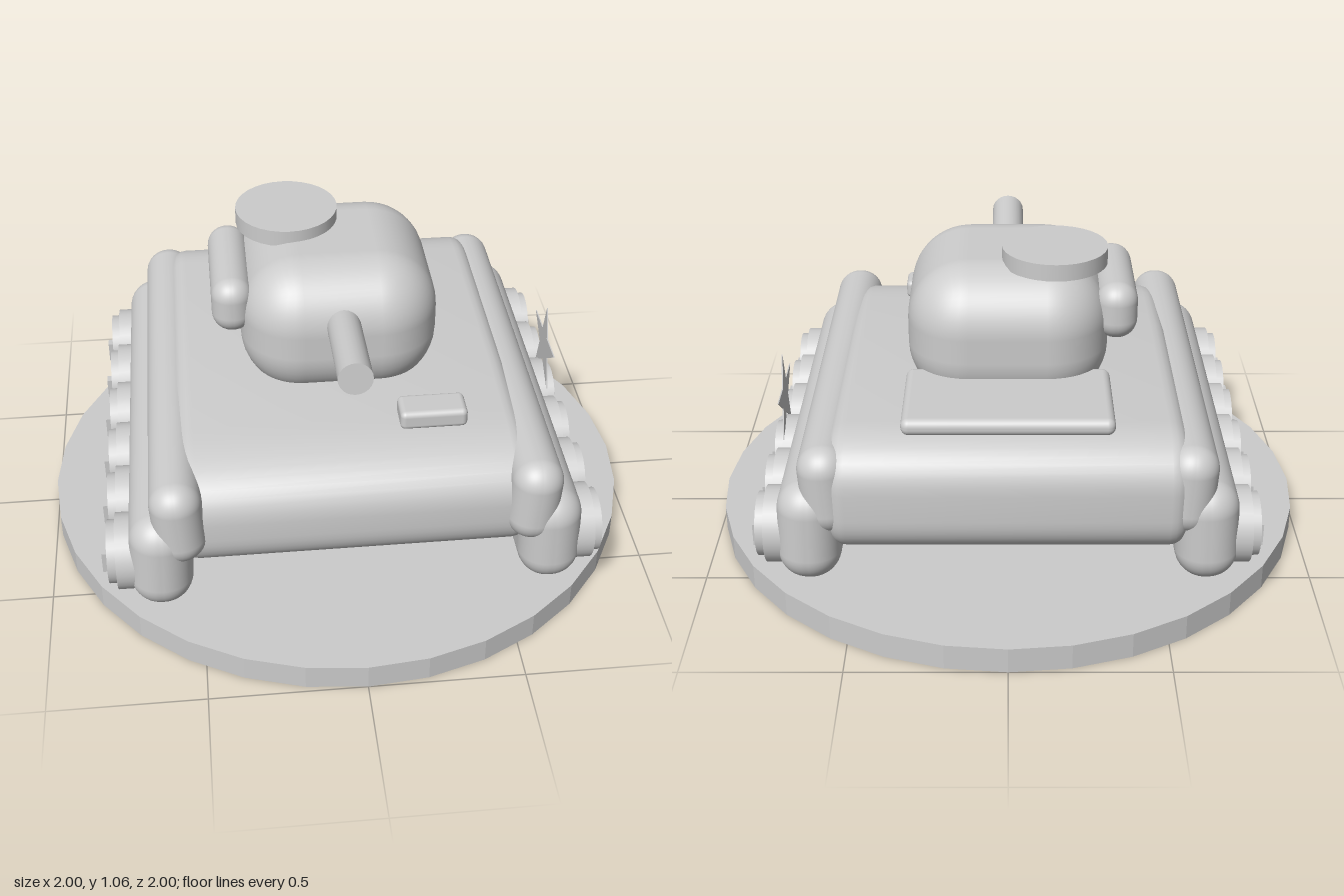
import * as THREE from 'three';
import { toCreasedNormals } from 'three/addons/utils/BufferGeometryUtils.js';
import { RoundedBoxGeometry } from 'three/addons/geometries/RoundedBoxGeometry.js';

export function createModel() {
  const model = new THREE.Group();
  model.name = 'toyTank';
  const grey = new THREE.MeshStandardMaterial({ color: 0xcccccc });
  grey.name = 'plain grey';

  const add = (name, geometry, x, y, z, parent = model) => {
    const mesh = new THREE.Mesh(geometry, grey);
    mesh.name = name;
    mesh.position.set(x, y, z);
    parent.add(mesh);
    return mesh;
  };
  const softBox = (w, h, d, r) => new RoundedBoxGeometry(w, h, d, 6, r);

  // Faceted display base
  add('base', toCreasedNormals(new THREE.CylinderGeometry(1, 1, 0.085, 32), 0.1), 0, 0.0425, 0);

  // Hull: side profile (z, y) extruded across x
  const profile = new THREE.Shape();
  profile.moveTo(-0.56, 0.625);
  profile.bezierCurveTo(-0.69, 0.625, -0.76, 0.57, -0.76, 0.47);
  profile.lineTo(-0.76, 0.38);
  profile.bezierCurveTo(-0.76, 0.3, -0.71, 0.24, -0.61, 0.24);
  profile.lineTo(0.55, 0.24);
  profile.bezierCurveTo(0.65, 0.24, 0.7, 0.3, 0.7, 0.38);
  profile.lineTo(0.7, 0.44);
  profile.bezierCurveTo(0.7, 0.55, 0.6, 0.605, 0.42, 0.61);
  profile.lineTo(0.15, 0.625);
  const hull = new THREE.ExtrudeGeometry(profile, {
    depth: 1.0, curveSegments: 10, bevelEnabled: true,
    bevelThickness: 0.06, bevelSize: 0.06, bevelOffset: -0.06, bevelSegments: 5,
  });
  hull.translate(0, 0, -0.5).rotateY(-Math.PI / 2);
  add('hull', toCreasedNormals(hull, 0.6), 0, 0, 0);

  // Fenders, tracks and wheels on both sides
  for (const s of [1, -1]) {
    const side = new THREE.Group();
    side.name = s > 0 ? 'leftRunningGear' : 'rightRunningGear';
    model.add(side);
    add('fender', softBox(0.165, 0.295, 1.505, 0.08), s * 0.562, 0.456, 0, side).rotation.z = -s * 0.06;
    add('track', softBox(0.2, 0.34, 1.51, 0.095), s * 0.622, 0.305, 0, side).rotation.z = s * 0.03;
    for (let i = 0; i < 6; i++) {
      const z = 0.59 - i * 0.235;
      add('wheel', new THREE.CylinderGeometry(0.123, 0.123, 0.14, 32), s * 0.695, 0.27, z, side).rotation.z = Math.PI / 2;
      add('wheelCap', new THREE.CylinderGeometry(0.102, 0.102, 0.04, 32), s * 0.773, 0.27, z, side).rotation.z = Math.PI / 2;
      add('wheelTab', new THREE.BoxGeometry(0.04, 0.075, 0.03), s * 0.795, 0.233, z, side);
    }
  }

  // Turret with side pod, round hatch and raised barrel
  add('turret', softBox(0.65, 0.48, 0.665, 0.2), 0, 0.78, -0.068);
  add('sidePod', softBox(0.135, 0.19, 0.445, 0.065), -0.35, 0.86, -0.077);
  add('hatch', new THREE.CylinderGeometry(0.17, 0.17, 0.055, 32), -0.15, 1.0325, -0.182);
  const barrel = add('barrel', new THREE.CylinderGeometry(0.055, 0.055, 0.45, 24), 0, 0.869, 0.363);
  barrel.rotation.x = Math.PI / 2 - 0.1;

  // Deck fittings
  add('engineCover', softBox(0.655, 0.055, 0.375, 0.025), 0, 0.658, -0.49);
  add('deckBox', softBox(0.215, 0.065, 0.11, 0.018), 0.262, 0.648, 0.45);

  // Thin five-pointed star plate on the left side
  const star = new THREE.Shape();
  for (let i = 0; i < 10; i++) {
    const a = Math.PI / 2 + i * Math.PI / 5, r = i % 2 ? 0.06 : 0.157;
    star[i ? 'lineTo' : 'moveTo'](r * Math.cos(a), r * Math.sin(a));
  }
  const plate = new THREE.ExtrudeGeometry(star, { depth: 0.004, bevelEnabled: false });
  add('star', plate.rotateY(Math.PI / 2), 0.758, 0.478, -0.112);

  return model;
}
